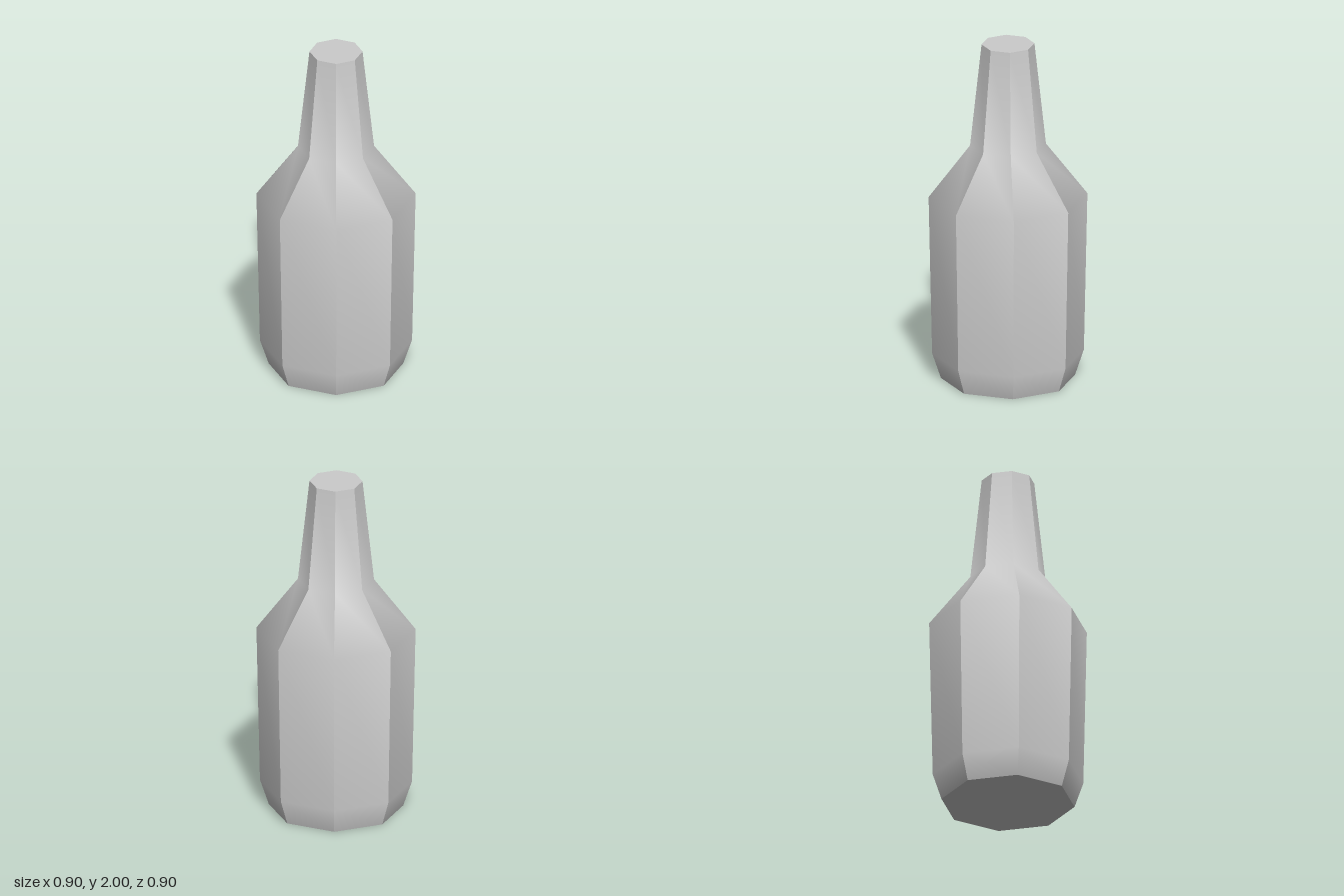
import * as THREE from 'three';
import { mergeGeometries } from 'three/addons/utils/BufferGeometryUtils.js';

const SIDES = 8;
const STEP = (Math.PI * 2) / SIDES;

// Radius and height from the foot, over the shoulder, to the mouth
const PROFILE = [
  [0.38, 0], [0.43, 0.15], [0.45, 1.09], [0.215, 1.395], [0.15, 2],
].map(([r, y]) => new THREE.Vector2(r, y));

// One panel: smooth along its height, sharp against its neighbours
function panel(i) {
  const geometry = new THREE.LatheGeometry(PROFILE, 1, i * STEP, STEP);
  geometry.computeVertexNormals();
  return geometry;
}

// Flat eight-sided cap facing up (dir = 1) or down (dir = -1)
function cap(point, dir) {
  return new THREE.CircleGeometry(point.x, SIDES)
    .rotateX((-dir * Math.PI) / 2)
    .translate(0, point.y, 0);
}

export function createModel() {
  const group = new THREE.Group();
  group.name = 'bottle';
  const material = new THREE.MeshStandardMaterial({ color: 0xcccccc });
  const add = (name, geometry) => {
    const mesh = new THREE.Mesh(geometry, material);
    mesh.name = name;
    group.add(mesh);
  };

  const panels = Array.from({ length: SIDES }, (_, i) => panel(i));
  add('bottleWall', mergeGeometries(panels));
  add('bottleTop', cap(PROFILE[PROFILE.length - 1], 1));
  add('bottleBase', cap(PROFILE[0], -1));
  return group;
}
